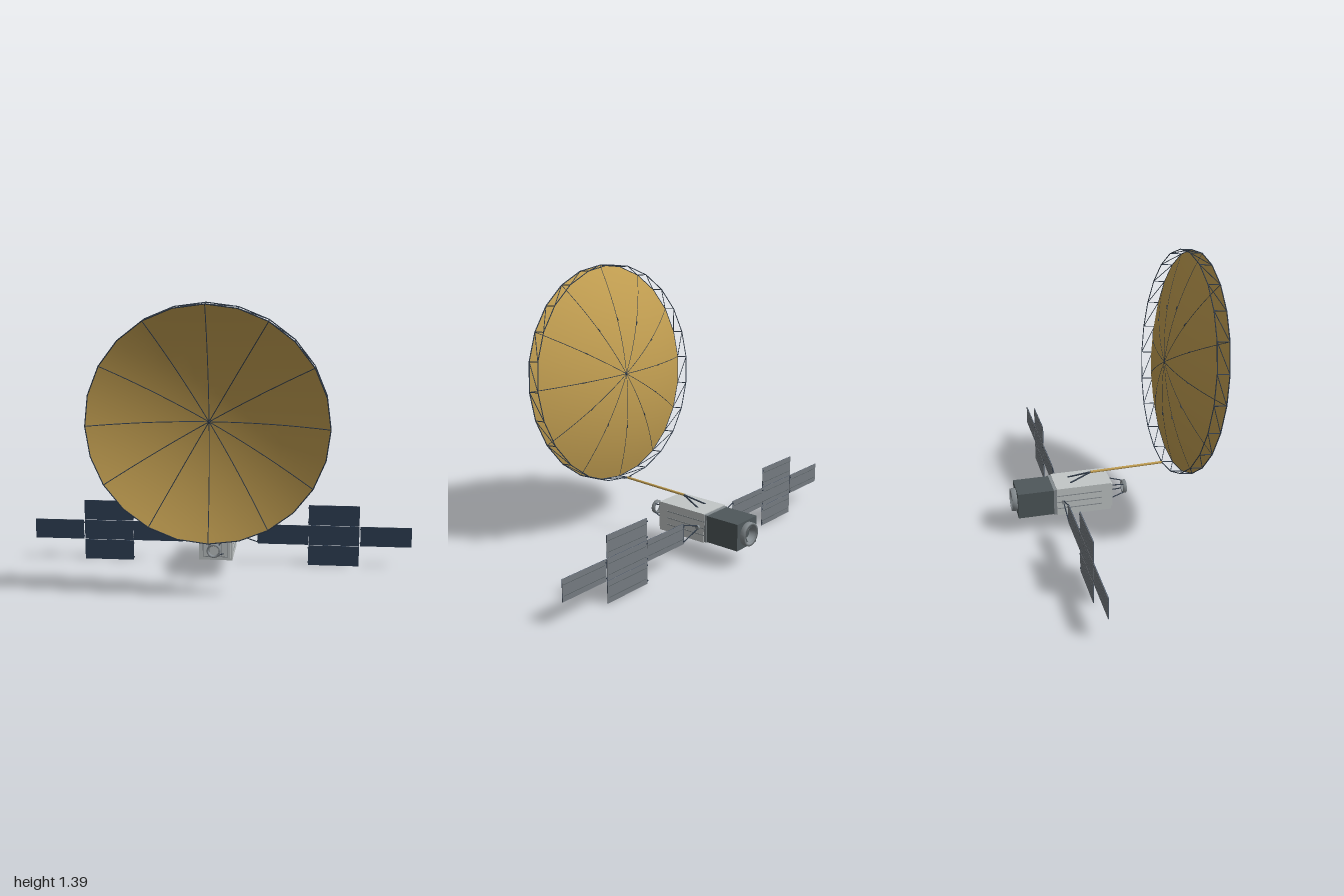
import * as THREE from 'three';

const mat = (name, color, side = THREE.FrontSide) => {
  const m = new THREE.MeshStandardMaterial({ color, side });
  m.name = name;
  return m;
};

export function createModel() {
  const model = new THREE.Group();
  model.name = 'satellite';
  const gold = mat('gold mesh', 0xc4a052, THREE.DoubleSide);
  const truss = mat('dark truss', 0x35404e);
  const cell = mat('solar blue', 0x2f3f55);
  const backing = mat('panel backing grey', 0x767c82);
  const hull = mat('hull light grey', 0xc2c7c7);
  const dark = mat('dark grey', 0x4f585b);
  const trim = mat('trim grey', 0x858c90, THREE.DoubleSide);

  const V = (x, y, z) => new THREE.Vector3(x, y, z);
  const add = (parent, name, geo, m) => {
    const mesh = new THREE.Mesh(geo, m);
    mesh.name = name;
    parent.add(mesh);
    return mesh;
  };
  const box = (parent, name, m, w, h, d, x, y, z) => {
    const mesh = add(parent, name, new THREE.BoxGeometry(w, h, d), m);
    mesh.position.set(x, y, z);
    return mesh;
  };
  // Round bar between two points
  const bar = (parent, name, m, a, b, r, sides = 5) => {
    const mesh = add(parent, name, new THREE.CylinderGeometry(r, r, a.distanceTo(b), sides), m);
    mesh.position.copy(a).lerp(b, 0.5);
    mesh.quaternion.setFromUnitVectors(V(0, 1, 0), b.clone().sub(a).normalize());
    return mesh;
  };
  // Lathe turned so that its axis is z; profile is [radius, z]
  const lathe = (parent, name, m, profile, sides) => add(parent, name,
    new THREE.LatheGeometry(profile.map(([r, z]) => new THREE.Vector2(r, z)), sides).rotateX(Math.PI / 2), m);

  // ---- Dish with deployable rim ----
  const dish = new THREE.Group();
  dish.name = 'dish';
  dish.position.set(0, 0.826, 0.427);
  dish.rotation.x = 0.103;
  model.add(dish);
  const R = 0.556, DEPTH = 0.118, N = 24, RIM = 0.061;
  const sag = r => -DEPTH * (1 - (r / R) ** 2);
  const profile = [];
  for (let i = 0; i <= 16; i++) profile.push([Math.max(R * i / 16, 1e-4), sag(R * i / 16)]);
  lathe(dish, 'reflector', gold, profile, N);

  const node = (i, z) => {
    const t = i / N * Math.PI * 2;
    return V(R * Math.sin(t), R * Math.cos(t), z);
  };
  for (let i = 0; i < N; i++) {
    bar(dish, 'frontRim', truss, node(i, 0), node(i + 1, 0), 0.0028);
    bar(dish, 'rearRim', truss, node(i, -RIM), node(i + 1, -RIM), 0.0025);
    bar(dish, 'rimBatten', truss, node(i, 0), node(i, -RIM), 0.0025);
    bar(dish, 'rimDiagonal', truss, node(i, 0), node(i + 1, -RIM), 0.002);
  }
  // Ribs follow the bowl, with a small tie showing behind each
  for (let i = 0; i < 12; i++) {
    const t = i / 12 * Math.PI * 2;
    const at = (r, dz = 0) => V(r * Math.sin(t), r * Math.cos(t), sag(r) + dz);
    const points = [];
    for (let k = 0; k <= 8; k++) points.push(at(R * k / 8, 0.001));
    add(dish, 'rib', new THREE.TubeGeometry(new THREE.CatmullRomCurve3(points), 16, 0.0022, 5), truss);
    bar(dish, 'ribTie', truss, at(0.272, -0.003), at(0.288, -0.003), 0.003);
  }
  const hub = add(dish, 'dishHub', new THREE.SphereGeometry(0.006, 8, 6), truss);
  hub.position.z = sag(0);

  // ---- Boom ----
  bar(model, 'boom', gold, V(0, 0.277, 0.312), V(0, 0.269, -0.072), 0.0065, 8);
  for (const s of [-1, 1]) {
    bar(model, 'boomLeg', truss, V(0, 0.269, -0.07), V(s * 0.032, 0.237, -0.185), 0.004, 6);
    bar(model, 'dishFoot', truss, V(0, 0.275, 0.31), V(s * 0.028, 0.279, 0.31), 0.002);
  }

  // ---- Body ----
  const CY = 0.163;
  box(model, 'bodyHull', hull, 0.17, 0.149, 0.28, 0, CY, -0.125);
  box(model, 'bodyFrontPlate', hull, 0.15, 0.128, 0.012, 0, CY, 0.02);
  box(model, 'bodyRearCollar', trim, 0.163, 0.141, 0.016, 0, CY, -0.272);
  box(model, 'serviceModule', dark, 0.158, 0.135, 0.182, 0, CY, -0.37);
  for (const s of [-1, 1]) {
    for (const y of [-0.035, 0, 0.035])
      box(model, 'sideRail', trim, 0.003, 0.004, 0.235, s * 0.0855, CY + y, -0.15);
    for (const x of [0.032, 0.062])
      box(model, 'frontStrip', trim, 0.003, 0.11, 0.003, s * x, CY, 0.0265);
    box(model, 'frontStrip', trim, 0.125, 0.003, 0.003, 0, CY + s * 0.054, 0.0265);
  }

  // Rear engine ring with nozzle inside
  const ring = lathe(model, 'engineRing', trim,
    [[0.046, -0.455], [0.058, -0.455], [0.058, -0.486], [0.046, -0.486], [0.046, -0.455]], 24);
  ring.position.y = CY;
  const nozzle = lathe(model, 'engineNozzle', trim, [[0.016, -0.458], [0.026, -0.468], [0.036, -0.484]], 20);
  nozzle.position.y = CY;

  // Front docking ring on four legs
  const docking = lathe(model, 'frontRing', hull,
    [[0.026, 0.096], [0.035, 0.096], [0.035, 0.114], [0.026, 0.114], [0.026, 0.096]], 16);
  docking.position.y = CY;
  docking.material = trim;
  for (const sx of [-1, 1]) for (const sy of [-1, 1])
    bar(model, 'frontRingLeg', truss, V(sx * 0.041, CY + sy * 0.038, 0.024),
      V(sx * 0.023, CY + sy * 0.023, 0.1), 0.003);

  // ---- Solar wings ----
  const PZ = -0.231;
  for (const s of [-1, 1]) {
    const wing = new THREE.Group();
    wing.name = s > 0 ? 'leftSolarWing' : 'rightSolarWing';
    model.add(wing);
    const panel = (x, y, w, h) => {
      box(wing, 'solarCells', cell, w, h, 0.002, s * x, y, PZ + 0.001);
      box(wing, 'panelBack', backing, w, h, 0.002, s * x, y, PZ - 0.001);
      for (const k of [-1, 1]) {
        box(wing, 'backStrip', dark, w * 0.94, 0.0016, 0.001, s * x, y + k * h * 0.25, PZ - 0.0024);
        box(wing, 'hinge', truss, 0.008, 0.006, 0.003, s * (x - w / 2), y + k * h * 0.36, PZ - 0.002);
      }
    };
    for (const x of [0.3325, 0.5975, 0.8675]) panel(x, CY, 0.264, 0.104);
    for (const k of [-1, 1]) panel(0.5975, CY + k * 0.108, 0.264, 0.107);
    // Yoke from the body pivot to the first panel
    bar(wing, 'pivot', trim, V(s * 0.083, CY, PZ), V(s * 0.096, CY, PZ), 0.011, 12);
    for (const k of [-1, 1])
      bar(wing, 'yokeArm', truss, V(s * 0.092, CY + k * 0.008, PZ), V(s * 0.201, CY + k * 0.044, PZ), 0.003);
    bar(wing, 'yokeCrossbar', truss, V(s * 0.2, CY - 0.05, PZ), V(s * 0.2, CY + 0.05, PZ), 0.0022);
  }
  return model;
}
